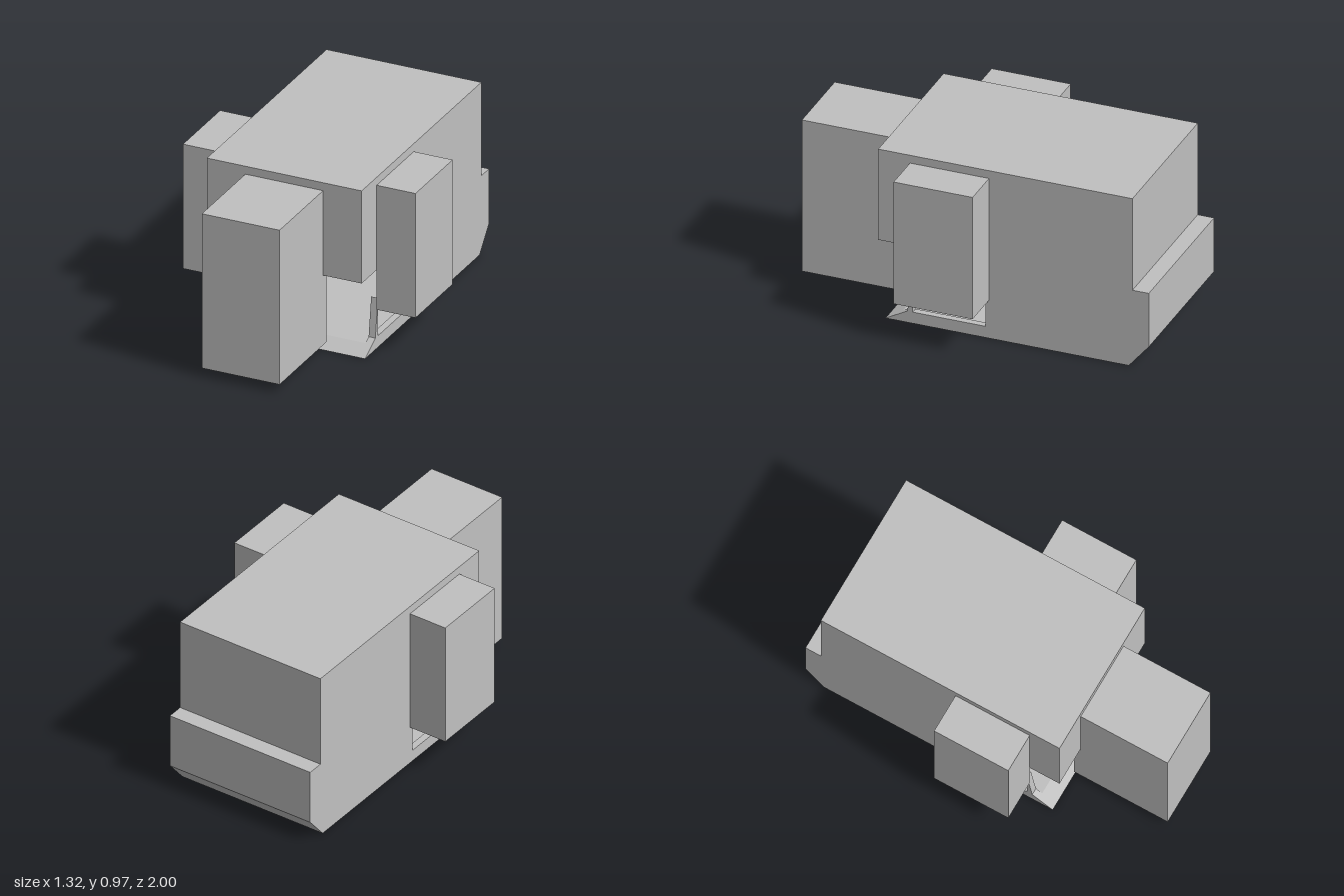
import * as THREE from 'three';

export function createModel() {
  const model = new THREE.Group();
  const grey = new THREE.MeshStandardMaterial({ color: 0xc0c0c0 });
  grey.name = 'light grey';

  // Extrude a (z, y) side profile across x, from x0 to x1
  function slab(name, profile, x0, x1) {
    const shape = new THREE.Shape(profile.map(([z, y]) => new THREE.Vector2(-z, y)));
    const geo = new THREE.ExtrudeGeometry(shape, { depth: x1 - x0, bevelEnabled: false });
    geo.rotateY(Math.PI / 2).translate(x0, 0, 0);
    const mesh = new THREE.Mesh(geo, grey);
    mesh.name = name;
    model.add(mesh);
  }

  // Box given by its minimum and maximum corners
  function box(name, parent, [x0, y0, z0], [x1, y1, z1]) {
    const geo = new THREE.BoxGeometry(x1 - x0, y1 - y0, z1 - z0);
    geo.translate((x0 + x1) / 2, (y0 + y1) / 2, (z0 + z1) / 2);
    const mesh = new THREE.Mesh(geo, grey);
    mesh.name = name;
    parent.add(mesh);
  }

  // Outline shared by the core and the side walls: top, rear step, chamfered base
  const outline = [
    [0.49, 0.97], [-0.91, 0.97], [-0.91, 0.44], [-1, 0.44],
    [-1, 0.13], [-0.89, 0], [0.45, 0],
  ];

  // Core with a deep slot above a sloped front lip
  slab('bodyCore', [
    ...outline, [0.367, 0.045], [-0.85, 0.045], [-0.85, 0.445], [0.49, 0.445],
  ], -0.4, 0.4);

  // Side walls with a tapered front post and a window opening
  const wall = [
    ...outline, [0.33, 0.065], [0.3, 0.28], [0.3, 0.065],
    [-0.1, 0.065], [-0.1, 0.445], [0.49, 0.445],
  ];
  slab('leftWall', wall, 0.4, 0.438);
  slab('rightWall', wall, -0.438, -0.4);

  // Front block
  box('frontBlock', model, [-0.22, 0.05, 0.45], [0.22, 0.925, 1]);

  // Hollow side housings, open at the bottom
  for (const side of [1, -1]) {
    const housing = new THREE.Group();
    housing.name = side > 0 ? 'leftHousing' : 'rightHousing';
    const part = (name, xa, xb, y0, y1, z0, z1) =>
      box(name, housing, [Math.min(side * xa, side * xb), y0, z0],
        [Math.max(side * xa, side * xb), y1, z1]);
    part('housingOuterWall', 0.638, 0.658, 0.22, 0.905, -0.12, 0.315);
    part('housingFrontWall', 0.437, 0.638, 0.22, 0.905, 0.3, 0.315);
    part('housingBackWall', 0.437, 0.638, 0.22, 0.905, -0.12, -0.1);
    part('housingTop', 0.437, 0.658, 0.905, 0.925, -0.12, 0.315);
    model.add(housing);
  }

  return model;
}
